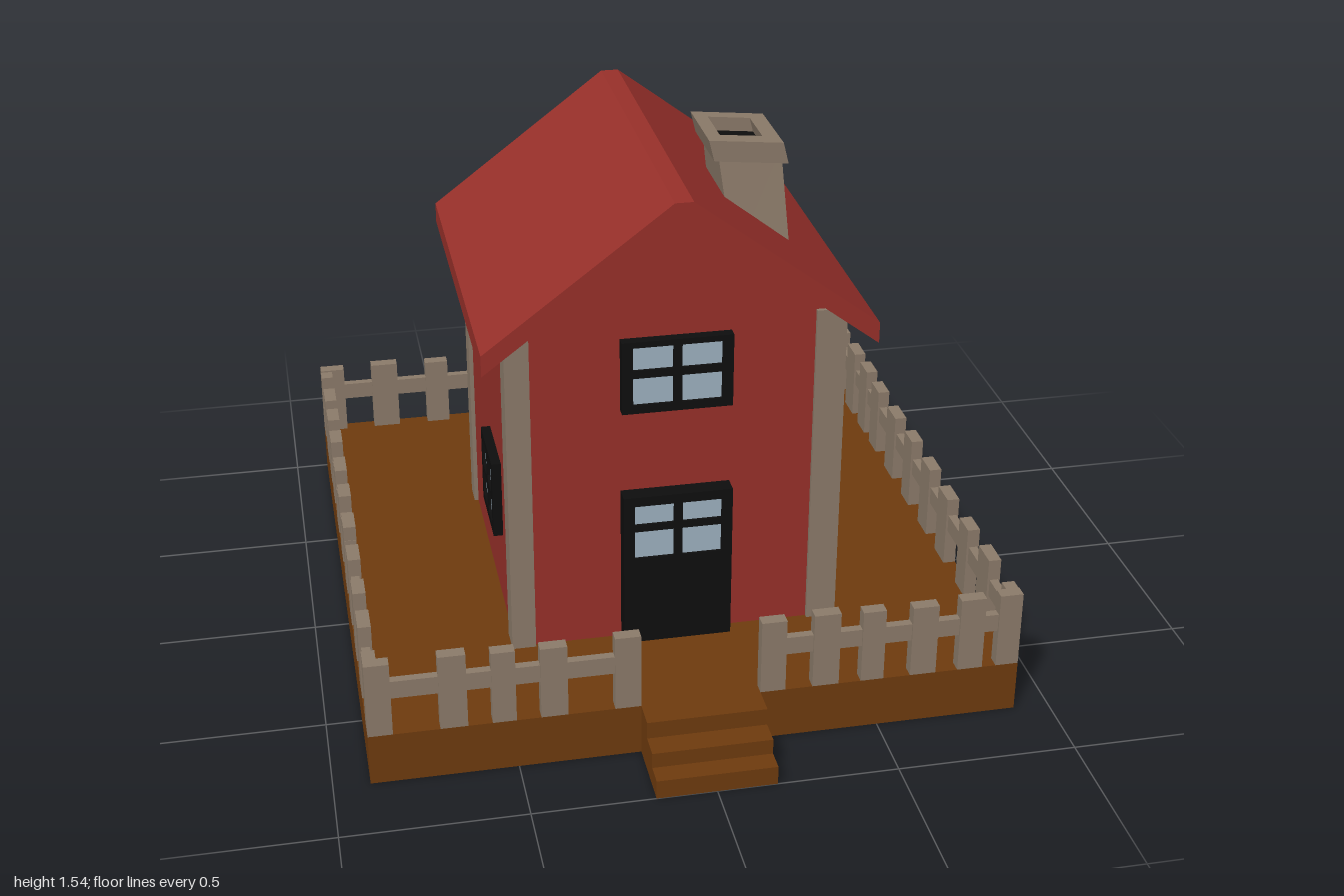
import * as THREE from 'three';

const mat = (name, color) => {
  const m = new THREE.MeshStandardMaterial({ color });
  m.name = name;
  return m;
};

export function createModel() {
  const red = mat('red paint', 0x98302a);
  const tan = mat('weathered wood', 0x8c7b6a);
  const brown = mat('brown earth', 0x6e3b0e);
  const black = mat('black trim', 0x0e0e0e);
  const glass = mat('window glass', 0x9fb3c2);

  const model = new THREE.Group();
  model.name = 'cottage';

  const add = (parent, name, geometry, material) => {
    const m = new THREE.Mesh(geometry, material);
    m.name = name;
    parent.add(m);
    return m;
  };
  // Box given by its limits on each axis
  const box = (parent, name, material, x0, x1, y0, y1, z0, z1) => {
    const g = new THREE.BoxGeometry(x1 - x0, y1 - y0, z1 - z0);
    g.translate((x0 + x1) / 2, (y0 + y1) / 2, (z0 + z1) / 2);
    return add(parent, name, g, material);
  };
  const extrude = (shape, z0, z1) =>
    new THREE.ExtrudeGeometry(shape, { depth: z1 - z0, bevelEnabled: false }).translate(0, 0, z0);
  const polygon = (pts) => new THREE.Shape(pts.map(([x, y]) => new THREE.Vector2(x, y)));
  const rect = (x0, x1, y0, y1) => [[x0, y0], [x1, y0], [x1, y1], [x0, y1]];

  // Ground block and front steps
  box(model, 'groundBlock', brown, -0.9, 0.9, 0, 0.15, -1, 0.79);
  add(model, 'frontSteps', extrude(polygon([
    [0.79, 0], [1, 0], [1, 0.055], [0.94, 0.055], [0.94, 0.1], [0.87, 0.1], [0.87, 0.15], [0.79, 0.15],
  ]), -0.165, 0.165).rotateY(-Math.PI / 2), brown);

  // House walls with gables
  add(model, 'walls', extrude(polygon([
    [-0.455, 0.15], [0.455, 0.15], [0.455, 1.12], [0.025, 1.445], [-0.025, 1.445], [-0.455, 1.12],
  ]), -0.465, 0.44), red);

  // Corner posts
  for (const s of [-1, 1]) {
    const [x0, x1] = s < 0 ? [-0.467, -0.4] : [0.383, 0.467];
    box(model, 'frontCornerPost', tan, x0, x1, 0.15, 1.12, 0.372, 0.452);
    box(model, 'backCornerPost', tan, x0, x1, 0.15, 1.12, -0.476, -0.402);
  }

  // Roof: one bent slab with a flat ridge
  add(model, 'roof', extrude(polygon([
    [-0.535, 1.045], [-0.025, 1.43], [0.025, 1.43], [0.535, 1.045],
    [0.535, 1.105], [0.025, 1.49], [-0.025, 1.49], [-0.535, 1.105],
  ]), -0.545, 0.525), red);

  // Leaning chimney: tapered shaft, hollow cap, dark flue
  const chimney = new THREE.Group();
  chimney.name = 'chimney';
  model.add(chimney);
  const shaft = new THREE.BoxGeometry(1, 1, 1);
  const sp = shaft.attributes.position;
  for (let i = 0; i < sp.count; i++) {
    const right = sp.getX(i) > 0, top = sp.getY(i) > 0, front = sp.getZ(i) > 0;
    if (top) sp.setXYZ(i, right ? 0.333 : 0.157, right ? 1.472 : 1.492, front ? 0.222 : 0.022);
    else sp.setXYZ(i, right ? 0.356 : 0.2, 1.17, front ? 0.262 : -0.018);
  }
  shaft.computeVertexNormals();
  add(chimney, 'chimneyShaft', shaft, tan);

  const lean = (g) => {
    const p = g.attributes.position;
    for (let i = 0; i < p.count; i++) {
      const x = p.getX(i), h = p.getY(i);
      p.setXYZ(i, x - h * 0.25, 1.483 - 0.1 * (x - 0.15) + h, p.getZ(i));
    }
    g.computeVertexNormals();
    return g;
  };
  const capShape = polygon(rect(0.142, 0.347, -0.24, -0.005));
  capShape.holes.push(polygon(rect(0.182, 0.3, -0.19, -0.045)));
  add(chimney, 'chimneyCap', lean(extrude(capShape, 0, 0.06).rotateX(-Math.PI / 2)), tan);
  const flue = new THREE.BoxGeometry(0.122, 0.012, 0.15).translate(0.241, 0.014, 0.1175);
  add(chimney, 'flue', lean(flue), black);

  // Framed opening facing +z, with a grid of panes and glass behind them
  const framed = (name, w, h, depth, panes) => {
    const g = new THREE.Group();
    g.name = name;
    const shape = polygon(rect(-w / 2, w / 2, 0, h));
    for (const p of panes) shape.holes.push(polygon(p));
    add(g, name + 'Frame', extrude(shape, 0, depth), black);
    for (const p of panes) {
      add(g, name + 'Pane', new THREE.ShapeGeometry(polygon(p)).translate(0, 0, depth - 0.008), glass);
    }
    model.add(g);
    return g;
  };
  const grid = (x0, x1, rows, mid) => rows.flatMap(([a, b]) => [rect(x0, -mid, a, b), rect(mid, x1, a, b)]);

  framed('door', 0.305, 0.465, 0.05, grid(-0.122, 0.122, [[0.272, 0.357], [0.378, 0.437]], 0.012))
    .position.set(-0.002, 0.155, 0.44);
  framed('upperWindow', 0.305, 0.212, 0.03, grid(-0.122, 0.122, [[0.025, 0.105], [0.128, 0.195]], 0.012))
    .position.set(-0.002, 0.868, 0.44);

  // Side windows: panes with clipped corners
  const clipped = (cx, cy, r, c) => [
    [cx - r + c, cy - r], [cx + r - c, cy - r], [cx + r, cy - r + c], [cx + r, cy + r - c],
    [cx + r - c, cy + r], [cx - r + c, cy + r], [cx - r, cy + r - c], [cx - r, cy - r + c],
  ];
  const sidePanes = [];
  for (const i of [-1, 1]) for (const j of [-1, 1]) sidePanes.push(clipped(i * 0.05, 0.118 + j * 0.05, 0.042, 0.014));
  for (const s of [-1, 1]) {
    const w = framed('sideWindow', 0.232, 0.232, 0.028, sidePanes);
    w.position.set(s * 0.454, 0.384, 0.104);
    w.rotation.y = s * Math.PI / 2;
  }

  // Picket fence: each run is laid along its own x axis, then turned into place
  const fence = (name, from, to, centres, width) => {
    const g = new THREE.Group();
    g.name = name;
    box(g, 'fenceRail', tan, from, to, 0.26, 0.312, -0.012, 0.012);
    centres.forEach((c, i) => {
      const w = width * (1 + 0.08 * Math.sin(i * 2.3));
      const x0 = Math.max(from, c - w / 2), x1 = Math.min(to, c + w / 2);
      box(g, 'picket', tan, x0, x1, 0.15, 0.37 + 0.005 * Math.sin(i * 1.7), -0.018, 0.018);
    });
    model.add(g);
    return g;
  };
  const even = (a, b, n) => Array.from({ length: n }, (_, i) => a + (b - a) * i / (n - 1));

  fence('frontFenceLeft', 0.165, 0.9, [0.2, 0.348, 0.48, 0.625, 0.76, 0.868], 0.07).position.z = 0.772;
  fence('frontFenceRight', -0.9, -0.165, [-0.868, -0.67, -0.535, -0.4, -0.2], 0.07).position.z = 0.772;
  fence('backFence', -0.9, 0.9, even(-0.865, 0.865, 11), 0.08).position.z = -0.982;
  const sideCentres = [-0.755, -0.565, -0.39, -0.2, -0.03, 0.147, 0.325, 0.505, 0.64, 0.785, 0.96];
  for (const s of [-1, 1]) {
    const g = fence('sideFence', -0.79, 1, sideCentres, 0.082);
    g.rotation.y = Math.PI / 2;
    g.position.x = s * 0.882;
    // Loose slanting board on one side
    if (s < 0) {
      const board = add(g, 'looseBoard', new THREE.BoxGeometry(0.95, 0.03, 0.034), tan);
      board.position.set(0.4, 0.29, 0);
      board.rotation.z = -0.05;
    }
  }
  return model;
}
